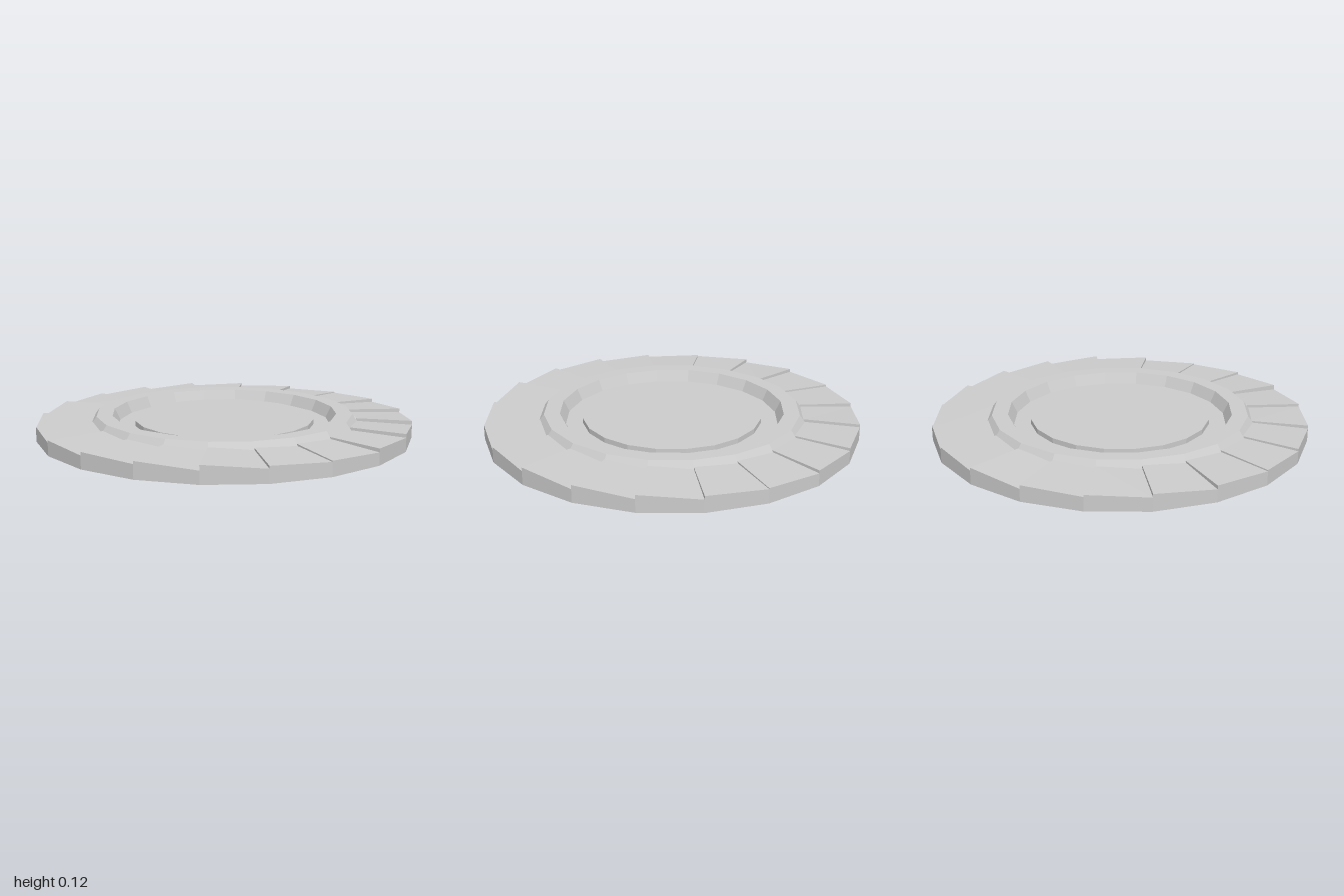
import * as THREE from 'three';

const SIDES = 20;
const material = new THREE.MeshStandardMaterial({
  color: 0xcccccc, flatShading: true, side: THREE.DoubleSide,
});

function addMesh(group, name, geometry) {
  const mesh = new THREE.Mesh(geometry, material);
  mesh.name = name;
  group.add(mesh);
}

// Faceted ring or disc from a list of [radius, height] pairs
function turned(profile) {
  return new THREE.LatheGeometry(profile.map(([r, y]) => new THREE.Vector2(r, y)), SIDES);
}

function quads(list) {
  const positions = [];
  for (const [a, b, c, d] of list) positions.push(...a, ...b, ...c, ...a, ...c, ...d);
  const geometry = new THREE.BufferGeometry();
  geometry.setAttribute('position', new THREE.Float32BufferAttribute(positions, 3));
  geometry.computeVertexNormals();
  return geometry;
}

export function createModel() {
  const group = new THREE.Group();
  group.name = 'stonePlate';

  // Rim stones: each one rises around the ring, then steps down to the next
  const inner = 0.705;
  const highSteps = [0, 1, 5, 6, 11, 14, 19];
  const point = (i, r, y) => {
    const a = (i / SIDES) * Math.PI * 2;
    return [r * Math.cos(a), y, r * Math.sin(a)];
  };
  const stone = (i) => {
    const end = (i + 1) % SIDES;
    const rise = highSteps.includes(end) ? 0.022 : 0.012;
    const low = 0.07 + 0.004 * Math.sin(i * 2.3);
    return {
      outerLow: low, outerHigh: low + rise,
      innerLow: 0.084, innerHigh: 0.087 + rise * 0.5,
    };
  };
  const rim = new THREE.Group();
  rim.name = 'stoneRim';
  group.add(rim);
  for (let i = 0; i < SIDES; i++) {
    const s = stone(i), next = stone((i + 1) % SIDES), j = i + 1;
    const top = [point(i, 1, s.outerLow), point(i, inner, s.innerLow),
      point(j, inner, s.innerHigh), point(j, 1, s.outerHigh)];
    const wall = [point(i, 1, 0), top[0], top[3], point(j, 1, 0)];
    const step = [point(j, 1, next.outerLow), top[3], top[2], point(j, inner, next.innerLow)];
    addMesh(rim, 'rimStone', quads([top, wall, step]));
  }

  // Raised ring with sloping sides and the groove inside it
  addMesh(group, 'raisedRing', turned([[0.715, 0.08], [0.685, 0.12], [0.6, 0.12], [0.57, 0.06]]));
  addMesh(group, 'groove', turned([[0.57, 0.06], [0.48, 0.06]]));

  // Slightly raised centre, hollow underneath
  addMesh(group, 'centreDisc', turned([[0.48, 0.06], [0.48, 0.087], [0, 0.087]]));

  return group;
}
